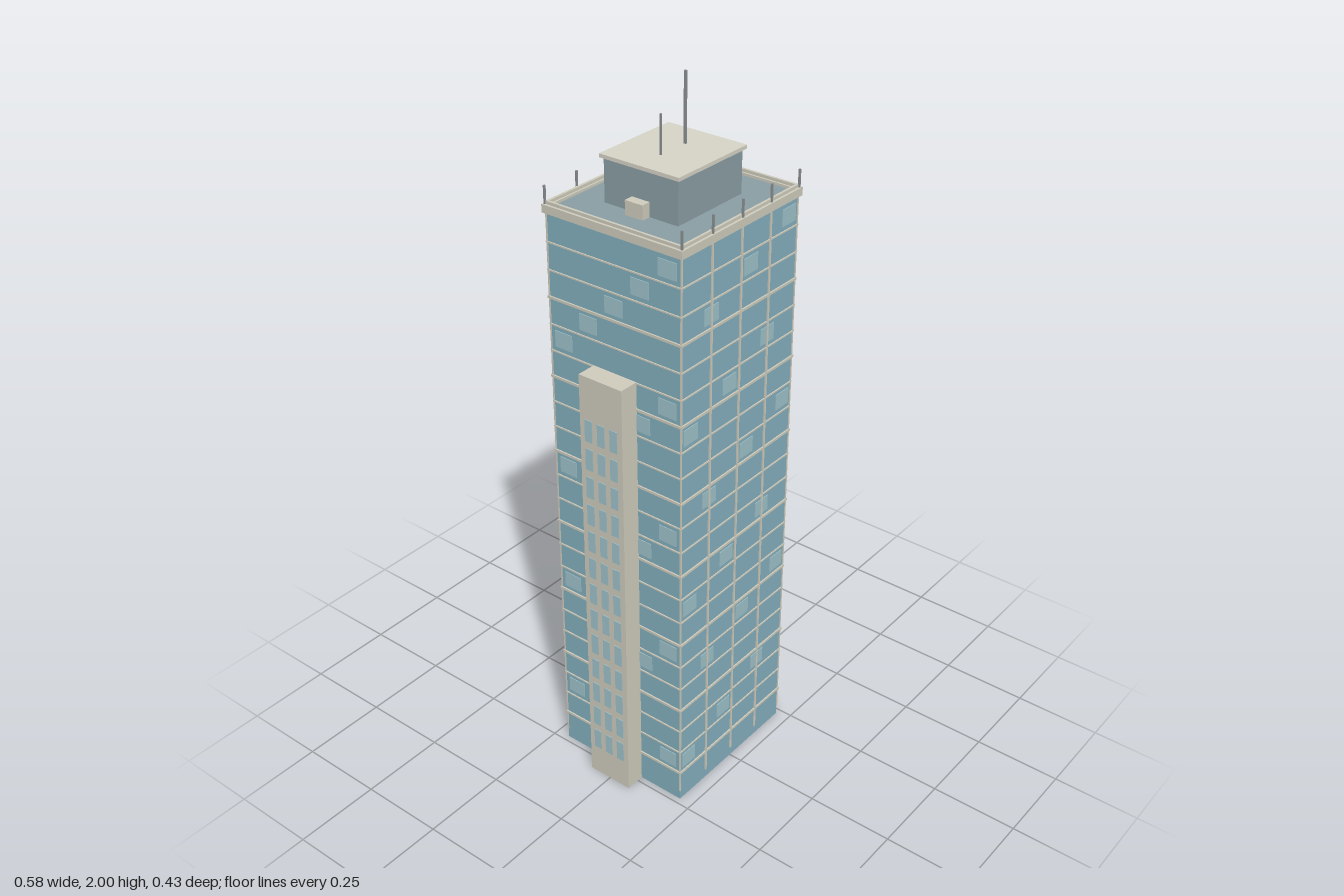
import * as THREE from 'three';

const paint = (color, side = THREE.FrontSide) => new THREE.MeshStandardMaterial({ color, side });

export function createModel() {
  const tower = new THREE.Group();
  tower.name = 'tower';
  const glass = paint(0x84b0bf), pale = paint(0x9fc3ca), cream = paint(0xd0cdbe);
  const capCream = paint(0xd8d5c8), roofGrey = paint(0x8a9fa5), dark = paint(0x6a665f), metal = paint(0x8c9092);

  const W = 0.232, D = 0.209; // half width and half depth of the glass body
  const FLOOR = 0.075, FIRST = 0.0975, FLOORS = 21;

  // Box given by size and centre
  function box(parent, name, mat, w, h, d, x, y, z) {
    const m = new THREE.Mesh(new THREE.BoxGeometry(w, h, d), mat);
    m.position.set(x, y, z);
    m.name = name;
    parent.add(m);
    return m;
  }
  function group(name) {
    const g = new THREE.Group();
    g.name = name;
    tower.add(g);
    return g;
  }
  // Rectangular frame around the tower from four bars
  function ring(parent, name, mat, halfX, halfZ, t, h, y) {
    for (const s of [-1, 1]) {
      box(parent, name, mat, 2 * halfX, h, t, 0, y, s * (halfZ - t / 2));
      box(parent, name, mat, t, h, 2 * (halfZ - t), s * (halfX - t / 2), y, 0);
    }
  }

  // Glass body, with an open recess under the lowest floor
  const body = group('glassBody');
  box(body, 'glassCore', glass, 2 * W, 1.575, 2 * D, 0, 0.8925, 0);
  ring(body, 'groundWall', glass, W, D, 0.006, 0.105, 0.0525);
  box(body, 'underside', dark, 2 * W - 0.013, 0.004, 2 * D - 0.013, 0, 0.103, 0);

  // Floor bands, every third one heavier
  const bands = group('floorBands');
  for (let k = 0; k < FLOORS; k++) {
    const major = k % 3 === 0;
    const out = major ? 0.004 : 0.003;
    ring(bands, 'floorBand', cream, W + out, D + out, 0.007, major ? 0.007 : 0.004, FIRST + k * FLOOR);
  }

  // Upright mullions on front and back, and slim corner posts
  const mullions = group('mullions');
  for (const s of [-1, 1]) {
    for (const x of [-0.117, 0, 0.117])
      box(mullions, 'mullion', cream, 0.006, 1.65, 0.007, x, 0.855, s * D);
    for (const x of [-W, W])
      box(mullions, 'cornerPost', cream, 0.004, 1.65, 0.004, x, 0.855, s * D);
  }

  // Pale panes stepping diagonally over the facades
  const panes = group('palePanes');
  for (let k = 0; k < FLOORS; k++) {
    const y = FIRST + (k + 0.5) * FLOOR;
    const col = (2 * k) % 7;
    const sideCol = (5 - (k % 5)) % 5;
    for (const s of [-1, 1]) {
      if (col < 6) box(panes, 'pane', pale, 0.056, 0.046, 0.004, -0.195 + col * 0.078, y, s * D);
      box(panes, 'sidePane', pale, 0.004, 0.046, 0.056, s * W, y, 0.167 - sideCol * 0.0835);
    }
  }

  // Service shafts on both sides, the left one taller
  for (const [s, height, rows, name] of [[1, 1.535, 16, 'leftShaft'], [-1, 1.3, 13, 'rightShaft']]) {
    const shaft = group(name);
    box(shaft, 'shaftBody', cream, 0.069, height, 0.138, s * 0.2555, height / 2, 0);
    for (let r = 0; r < rows; r++)
      for (const z of [-0.041, 0, 0.041])
        box(shaft, 'shaftWindow', pale, 0.004, 0.063, 0.024, s * 0.29, 0.125 + r * 0.085, z);
  }

  // Roof deck, stepped parapet and parapet posts
  const roof = group('roof');
  box(roof, 'roofDeck', roofGrey, 0.45, 0.012, 0.405, 0, 1.684, 0);
  ring(roof, 'parapet', cream, 0.24, 0.217, 0.019, 0.022, 1.686);
  ring(roof, 'parapetRim', cream, 0.233, 0.21, 0.007, 0.01, 1.7);
  for (const s of [-1, 1])
    for (let i = -2; i <= 2; i++)
      box(roof, 'parapetPost', metal, 0.005, 0.06, 0.005, i * 0.1165, 1.715, s * 0.211);

  // Penthouse with overhanging cap, side vents and masts
  const top = group('penthouse');
  box(top, 'penthouseWalls', roofGrey, 0.25, 0.122, 0.228, 0, 1.746, 0);
  box(top, 'penthouseCap', capCream, 0.266, 0.01, 0.244, 0, 1.812, 0);
  for (const s of [-1, 1])
    box(top, 'roofVent', cream, 0.032, 0.04, 0.054, s * 0.136, 1.709, 0);
  box(top, 'tallMast', metal, 0.006, 0.185, 0.006, 0.046, 1.9075, 0);
  box(top, 'shortMast', metal, 0.004, 0.105, 0.004, -0.048, 1.8675, 0);

  return tower;
}
